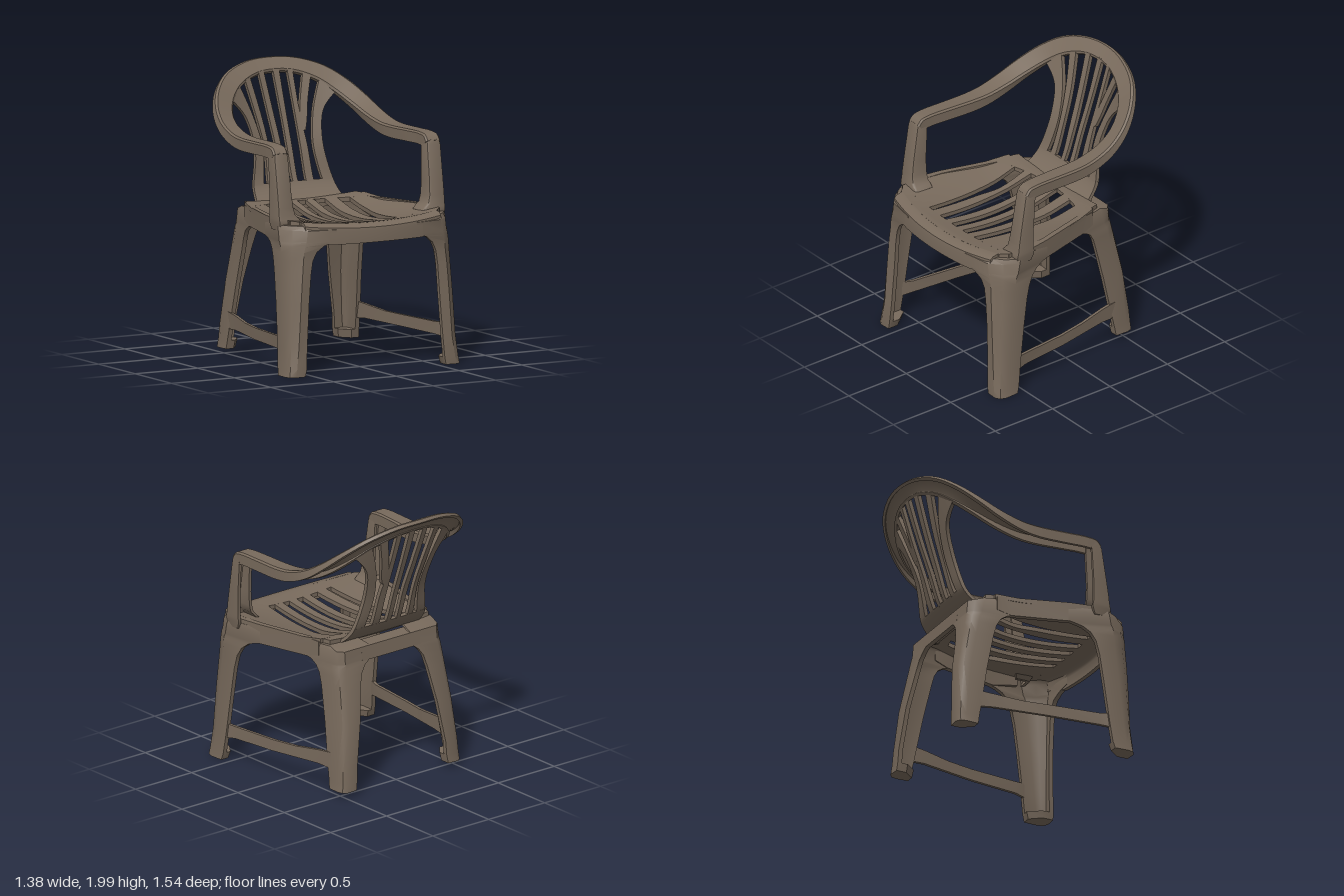
import * as THREE from 'three';
import { toCreasedNormals } from 'three/addons/utils/BufferGeometryUtils.js';

const plastic = new THREE.MeshStandardMaterial({ color: 0x786a5c });
plastic.name = 'brown plastic';

const V = (x, y, z) => new THREE.Vector3(x, y, z);
const { lerp, smoothstep } = THREE.MathUtils;

// Closed solid through rings of points; faces are turned outward by the sign of the volume
function loft(rings) {
  const n = rings[0].length, pos = [], idx = [];
  rings.forEach(r => r.forEach(p => pos.push(p.x, p.y, p.z)));
  const quad = (a, b, c, d) => idx.push(a, b, c, a, c, d);
  for (let i = 0; i < rings.length - 1; i++)
    for (let j = 0; j < n; j++) {
      const k = (j + 1) % n;
      quad(i * n + j, i * n + k, (i + 1) * n + k, (i + 1) * n + j);
    }
  const e = (rings.length - 1) * n;
  for (let j = 0; j < n / 2 - 1; j++) {
    quad(n - 1 - j, n - 2 - j, j + 1, j);
    quad(e + j, e + j + 1, e + n - 2 - j, e + n - 1 - j);
  }
  let vol = 0;
  const p = i => V(pos[i * 3], pos[i * 3 + 1], pos[i * 3 + 2]);
  for (let i = 0; i < idx.length; i += 3) vol += p(idx[i]).dot(p(idx[i + 1]).cross(p(idx[i + 2])));
  if (vol < 0) idx.reverse();
  const g = new THREE.BufferGeometry();
  g.setAttribute('position', new THREE.Float32BufferAttribute(pos, 3));
  g.setIndex(idx);
  return toCreasedNormals(g, 0.65);
}

// Curved plate over f(u, v), thickened by a fixed offset
function plate(f, nu, nv, off) {
  const rings = [];
  for (let i = 0; i <= nv; i++) {
    const top = [];
    for (let j = 0; j <= nu; j++) top.push(f(j / nu, i / nv));
    rings.push([...top, ...top.map(p => p.clone().add(off)).reverse()]);
  }
  return loft(rings);
}

const spline = pts => new THREE.SplineCurve(pts.map(p => new THREE.Vector2(...p)));

// Strip between two edges given as (a, b) points, mapped to 3D by place
function strip(left, right, place, off, nu = 3, nv = 16) {
  const L = spline(left), R = spline(right);
  return plate((u, v) => {
    const p = L.getPoint(v).lerp(R.getPoint(v), u);
    return place(p.x, p.y);
  }, nu, nv, off);
}

// Channel section of the arm posts, open to the back
function postRing([y, x0, x1, z0, z1]) {
  const t = 0.022, c = 0.02;
  return [V(x0, y, z0), V(x0, y, z1 - c), V(x0 + c * .3, y, z1 - c * .3), V(x0 + c, y, z1),
    V(x1 - c, y, z1), V(x1 - c * .3, y, z1 - c * .3), V(x1, y, z1 - c), V(x1, y, z0),
    V(x1 - t, y, z0), V(x1 - t, y, z1 - t - .01), V(x1 - t - .003, y, z1 - t - .003), V(x1 - t - .01, y, z1 - t),
    V(x0 + t + .01, y, z1 - t), V(x0 + t + .003, y, z1 - t - .003), V(x0 + t, y, z1 - t - .01), V(x0 + t, y, z0)];
}

// Angled leg section; row = y, side (xo, xb, zb), corner (zc, xc), face (zf, xi, zi)
function legRing([y, xo, xb, zb, zc, xc, zf, xi, zi]) {
  const t = 0.032, s = Math.sign(zf) * t;
  return [V(xb, y, zb), V(xo, y, zc), V((xo + xc) / 2 + 0.012, y, (zc + zf) / 2 + s * 0.35), V(xc, y, zf), V(xi, y, zi),
    V(xi, y, zi - s), V(xc - t * 0.4, y, zf - s), V((xo + xc) / 2 - 0.015, y, (zc + zf) / 2 - s * 0.5),
    V(xo - t, y, zc - s * 0.4), V(xb - t, y, zb)];
}
const footRing = ([, xo, xb, zb, zc, xc, zf, xi, zi], y) =>
  [V(xb, y, zb), V(xo, y, zc), V(xc, y, zf), V(xi, y, zi), V(xi, y, (zb + zi) / 2), V((xi + xb) / 2, y, zb)];

const frontRows = [
  [0, .69, .685, .56, .66, .64, .725, .56, .72], [.05, .683, .68, .545, .65, .63, .725, .55, .72],
  [.2, .675, .67, .525, .63, .61, .715, .54, .71], [.5, .67, .66, .485, .60, .59, .71, .52, .70],
  [.7, .665, .655, .455, .575, .575, .705, .505, .70], [.8, .665, .65, .43, .565, .565, .70, .49, .70],
  [.86, .665, .64, .395, .56, .56, .70, .46, .705], [.9, .665, .625, .345, .555, .55, .70, .41, .718],
  [.92, .665, .612, .29, .55, .545, .70, .36, .728], [.932, .665, .605, .24, .54, .54, .70, .32, .735],
  [1.01, .665, .605, .24, .525, .53, .70, .32, .735], [1.04, .66, .597, .24, .515, .52, .675, .33, .69]];
const rearRows = [
  [.04, .535, .53, -.42, -.51, .49, -.575, .41, -.57], [.1, .527, .525, -.41, -.51, .48, -.57, .40, -.565],
  [.2, .525, .52, -.39, -.50, .47, -.565, .395, -.56], [.5, .50, .50, -.335, -.46, .445, -.535, .345, -.53],
  [.75, .48, .485, -.28, -.41, .425, -.485, .30, -.48], [.84, .478, .485, -.255, -.39, .415, -.468, .275, -.465],
  [.89, .475, .49, -.225, -.38, .41, -.458, .24, -.455], [.92, .47, .495, -.18, -.36, .41, -.45, .2, -.45],
  [.932, .47, .50, -.14, -.36, .41, -.448, .18, -.448], [1.02, .465, .50, -.14, -.34, .41, -.44, .18, -.44],
  [1.045, .46, .495, -.14, -.31, .42, -.34, .2, -.34]];

// Dished seat surface and bowed front edge
const seatY = (x, z) => 1.035 + 0.1 * x * x + 0.025 * smoothstep(-z, 0, 0.3)
  - 0.05 * Math.cos(Math.min(1, Math.abs(z - 0.2) / 0.46) * Math.PI / 2) * Math.max(0, 1 - (x / 0.55) ** 2);
const frontZ = x => 0.76 - 0.24 * x * x;
const seatAt = (x, z) => V(x, seatY(x, z), z);

// Back surface: flat at the base, then leaning away and wrapping forward at the sides
const backLine = new THREE.CatmullRomCurve3([V(0, 1.03, -.27), V(0, 1.065, -.32), V(0, 1.11, -.37), V(0, 1.17, -.415), V(0, 1.4, -.495), V(0, 1.65, -.585), V(0, 1.95, -.685)]).getPoints(80);
function backAt(x, y) {
  let i = 0;
  while (i < 79 && backLine[i + 1].y < y) i++;
  const a = backLine[i], b = backLine[i + 1];
  return V(x, y, lerp(a.z, b.z, (y - a.y) / (b.y - a.y)) + 0.5 * x * x * smoothstep(y, 1.05, 1.5));
}

export function createModel() {
  const chair = new THREE.Group();
  const add = (name, geo, parent = chair) => {
    const m = new THREE.Mesh(geo, plastic);
    m.name = name;
    parent.add(m);
  };
  const addPair = (name, rings) => {
    add('left' + name, loft(rings));
    add('right' + name, loft(rings.map(r => r.map(p => V(-p.x, p.y, p.z)))));
  };

  // Legs with feet, flaring into the aprons at the top
  addPair('FrontLeg', frontRows.map(legRing));
  addPair('RearLeg', rearRows.map(legRing));
  addPair('FrontFoot', [footRing(frontRows[0], 0), footRing(frontRows[1], .05)]);
  addPair('RearFoot', [footRing(rearRows[0], .04), footRing(rearRows[1], .1)]);

  // Arm posts
  addPair('ArmPost', [[1.0, .53, .655, .42, .53], [1.05, .48, .663, .40, .545], [1.075, .50, .665, .40, .54],
    [1.10, .525, .665, .405, .535], [1.15, .538, .665, .405, .53], [1.25, .545, .665, .405, .515],
    [1.5, .55, .665, .39, .475], [1.53, .555, .66, .39, .465]].map(postRing));

  // Side aprons and low side stretchers
  const bar = (x, z, y0, y1, t) => [V(x, y0, z), V(x, y1, z), V(x - t, y1, z), V(x - t, y0, z)];
  addPair('SideApron', [bar(.64, .46, .98, 1.07, .05), bar(.605, .25, .93, 1.07, .04), bar(.50, -.15, .93, 1.065, .04), bar(.485, -.25, .96, 1.06, .04)]);
  addPair('Stretcher', [[.66, .54, .165, .27], [.64, .46, .175, .262], [.60, .1, .18, .262], [.565, -.1, .185, .267], [.53, -.3, .19, .29], [.515, -.42, .18, .30]]
    .map(([x, z, a, b]) => bar(x, z, a, b, .022)));

  // Bowed front apron with a rolled top edge
  const apron = [];
  for (let i = 0; i <= 24; i++) {
    const x = lerp(-.54, .54, i / 24), z = frontZ(x), y = seatY(x, .7);
    const low = lerp(.905, .95, smoothstep(Math.abs(x), .36, .5));
    apron.push([V(x, low, z), V(x, .99, z), V(x, y - .025, z - .004), V(x, y - .006, z - .03), V(x, y, z - .075),
      V(x, y - .03, z - .075), V(x, y - .036, z - .05), V(x, y - .045, z - .038), V(x, .975, z - .03), V(x, low, z - .03)]);
  }
  add('frontApron', loft(apron));

  // Rear apron with its ledge
  add('rearApron', loft([-.26, .26].map(x => [V(x, .92, -.45), V(x, 1.02, -.44), V(x, 1.025, -.33), V(x, .99, -.33), V(x, .985, -.41), V(x, .92, -.415)])));

  // Seat: front and rear panels joined by strips that leave the slots open
  const seat = new THREE.Group();
  seat.name = 'seat';
  chair.add(seat);
  const down = V(0, -.03, 0);
  add('seatFront', plate((u, v) => {
    const x = lerp(-1, 1, u) * lerp(.6, .55, v);
    return seatAt(x, lerp(.565, frontZ(x) - .07, v));
  }, 24, 5, down), seat);
  add('seatRear', plate((u, v) => {
    const x = lerp(-1, 1, u) * lerp(.44, .48, v);
    return seatAt(x, lerp(-.32, -.26 + .45 * x * x, v));
  }, 16, 4, down), seat);
  const zs = [-.26, 0, .2, .57];
  const seatEdges = [
    [[-.475, -.54, -.58, -.6], [-.345, -.325, -.315, -.3]],
    [[-.262, -.245, -.265, -.26], [-.2, -.205, -.2, -.18]],
    [[-.115, -.108, -.11, -.115], [-.055, -.055, -.052, -.05]],
    [[.01, .01, .01, .005], [.075, .07, .07, .072]],
    [[.158, .15, .145, .128], [.25, .24, .22, .2]],
    [[.335, .325, .295, .258], [.475, .54, .58, .6]]];
  const zip = a => a.map((x, i) => [x, zs[i]]);
  seatEdges.forEach(([l, r], i) => add('seatSlat' + (i + 1), strip(zip(l), zip(r), seatAt, down, 5), seat));

  // Backrest: lower panel and fanned slats reaching the rim
  const back = new THREE.Group();
  back.name = 'backrest';
  chair.add(back);
  const behind = V(0, -.008, -.028);
  add('backPanel', strip([[-.36, 1.035], [-.335, 1.08], [-.315, 1.17]], [[.36, 1.035], [.335, 1.08], [.315, 1.17]], backAt, behind, 16, 10), back);
  const topY = x => 1.925 - 0.95 * x * x;
  const edge = (a, b, c, d, y0 = 1.16) => [[a, y0], [b, y0 < 1.3 ? 1.4 : 1.58], [c, y0 < 1.3 ? 1.62 : 1.7], [d, topY(d)]];
  const outer = [edge(-.317, -.27, -.305, -.42), edge(-.235, -.2, -.238, -.315)];
  const flip = e => e.map(([x, y]) => [-x, y]);
  const slats = [
    outer,
    [edge(-.2, -.185, -.212, -.258), edge(-.15, -.147, -.165, -.21)],
    [edge(-.085, -.09, -.105, -.13), edge(-.05, -.045, -.06, -.085)],
    [edge(0, 0, 0, -.01), edge(.04, .04, .04, .04)],
    [edge(.105, .105, .105, .1), edge(.165, .157, .142, .14)],
    [edge(.125, .135, .16, .21, 1.5), edge(.163, .188, .215, .262, 1.5)],
    [flip(outer[1]), flip(outer[0])]];
  slats.forEach(([l, r], i) => add('backSlat' + (i + 1), strip(l, r, backAt, behind), back));

  // One rim sweeping from arm to arm over the back, an open channel underneath
  const mirrored = pts => new THREE.CatmullRomCurve3([...pts, ...pts.slice(0, -1).reverse().map(([x, y, z]) => [-x, y, z])].map(p => V(...p)));
  const O = mirrored([[.665, 1.525, .468], [.664, 1.562, .435], [.664, 1.575, .36], [.662, 1.575, .2], [.66, 1.575, 0], [.655, 1.59, -.13], [.64, 1.645, -.29],
    [.60, 1.73, -.43], [.52, 1.83, -.555], [.39, 1.925, -.66], [.2, 1.985, -.725], [0, 2.0, -.75]]);
  const I = mirrored([[.55, 1.525, .468], [.55, 1.562, .435], [.548, 1.575, .36], [.54, 1.575, .2], [.53, 1.572, 0], [.52, 1.58, -.13], [.505, 1.615, -.28],
    [.47, 1.675, -.41], [.40, 1.755, -.52], [.30, 1.835, -.595], [.15, 1.895, -.65], [0, 1.91, -.665]]);
  const rim = [];
  for (let i = 0; i <= 110; i++) {
    const t = i / 110, o = O.getPoint(t), n = I.getPoint(t);
    const w = o.clone().sub(n);
    const k = smoothstep(Math.abs(t - 0.5), 0.08, 0.34);
    const d = O.getTangent(t).cross(w).normalize();
    if (d.y > 0) d.negate();
    const at = (a, h) => n.clone().addScaledVector(w, a).addScaledVector(d, h);
    const h = lerp(.036, .085, k), e = .18;
    rim.push([at(0, h), at(0, .012), at(.1, 0), at(.9, 0), at(1, .012), at(1, h),
      at(1 - e, h), at(1 - e, .03), at(.75, .026), at(.25, .026), at(e, .03), at(e, h)]);
  }
  add('armAndBackRim', loft(rim));
  return chair;
}
